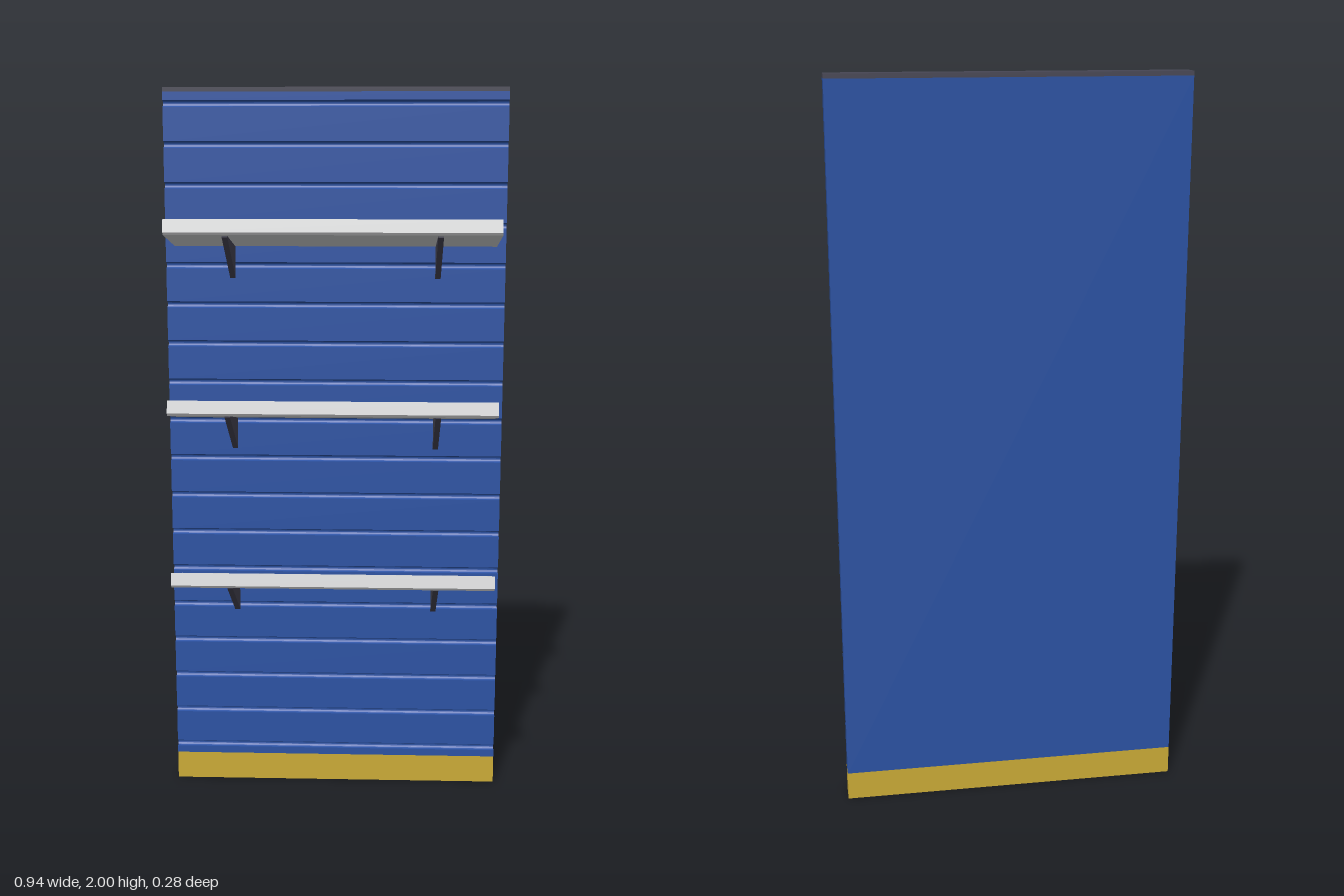
import * as THREE from 'three';

const material = (name, color) => Object.assign(new THREE.MeshStandardMaterial({ color }), { name });

// Extrude a side profile drawn in (z, y) to a width centred on x.
function extrudeAcross(shape, width) {
  const g = new THREE.ExtrudeGeometry(shape, { depth: width, bevelEnabled: false, curveSegments: 8 });
  g.rotateY(-Math.PI / 2);
  g.translate(width / 2, 0, 0);
  return g;
}

const polygon = (pts) => new THREE.Shape(pts.map(([z, y]) => new THREE.Vector2(z, y)));

export function createModel() {
  const blue = material('panelBlue', 0x2c53a4);
  const yellow = material('plinthYellow', 0xcbab37);
  const dark = material('darkMetal', 0x464553);
  const grey = material('shelfGrey', 0xd4d5d6);

  const model = new THREE.Group();
  model.name = 'slatwallDisplay';
  const add = (name, geometry, mat, parent = model) => {
    const mesh = new THREE.Mesh(geometry, mat);
    mesh.name = name;
    parent.add(mesh);
    return mesh;
  };

  const W = 0.936, back = -0.14, front = -0.08;
  const plinthTop = 0.08, capBottom = 1.988;

  // Slatted panel: grooves are rounded notches down the front edge
  const profile = new THREE.Shape();
  profile.moveTo(back, plinthTop);
  profile.lineTo(front, plinthTop);
  const r = 0.009;
  for (let i = 0; i < 18; i++) {
    const y = 0.109 + i * 0.1087;
    profile.lineTo(front, y - r);
    profile.absarc(front - 0.003, y, r, -Math.PI / 2, Math.PI / 2, true);
    profile.lineTo(front, y + r);
  }
  profile.lineTo(front, capBottom);
  profile.lineTo(back, capBottom);
  add('slatPanel', extrudeAcross(profile, W), blue);

  // Plinth and top cap
  const zMid = (back + front) / 2;
  add('plinth', new THREE.BoxGeometry(W, plinthTop, 0.06).translate(0, plinthTop / 2, zMid), yellow);
  add('topCap', new THREE.BoxGeometry(W, 2 - capBottom, 0.06).translate(0, (2 + capBottom) / 2, zMid), dark);

  // Tilted shelf with a front lip, heights relative to its rear lower edge
  const shelfGeometry = extrudeAcross(polygon([
    [-0.079, 0], [0.132, 0.043], [0.137, 0.05], [0.129, 0.084],
    [0.122, 0.082], [0.126, 0.062], [-0.079, 0.021],
  ]), 0.886);

  // Triangular support under the shelf
  const bracketGeometry = extrudeAcross(polygon([
    [-0.08, -0.088], [0.115, 0.036], [0.115, 0.04], [-0.08, 0.002],
  ]), 0.015);

  [0.615, 1.095, 1.575].forEach((y, i) => {
    const unit = new THREE.Group();
    unit.name = `shelfUnit${i + 1}`;
    unit.position.y = y;
    add('shelf', shelfGeometry, grey, unit);
    for (const side of [-1, 1]) {
      add(side > 0 ? 'leftBracket' : 'rightBracket', bracketGeometry, dark, unit).position.x = side * 0.283;
    }
    model.add(unit);
  });

  return model;
}
